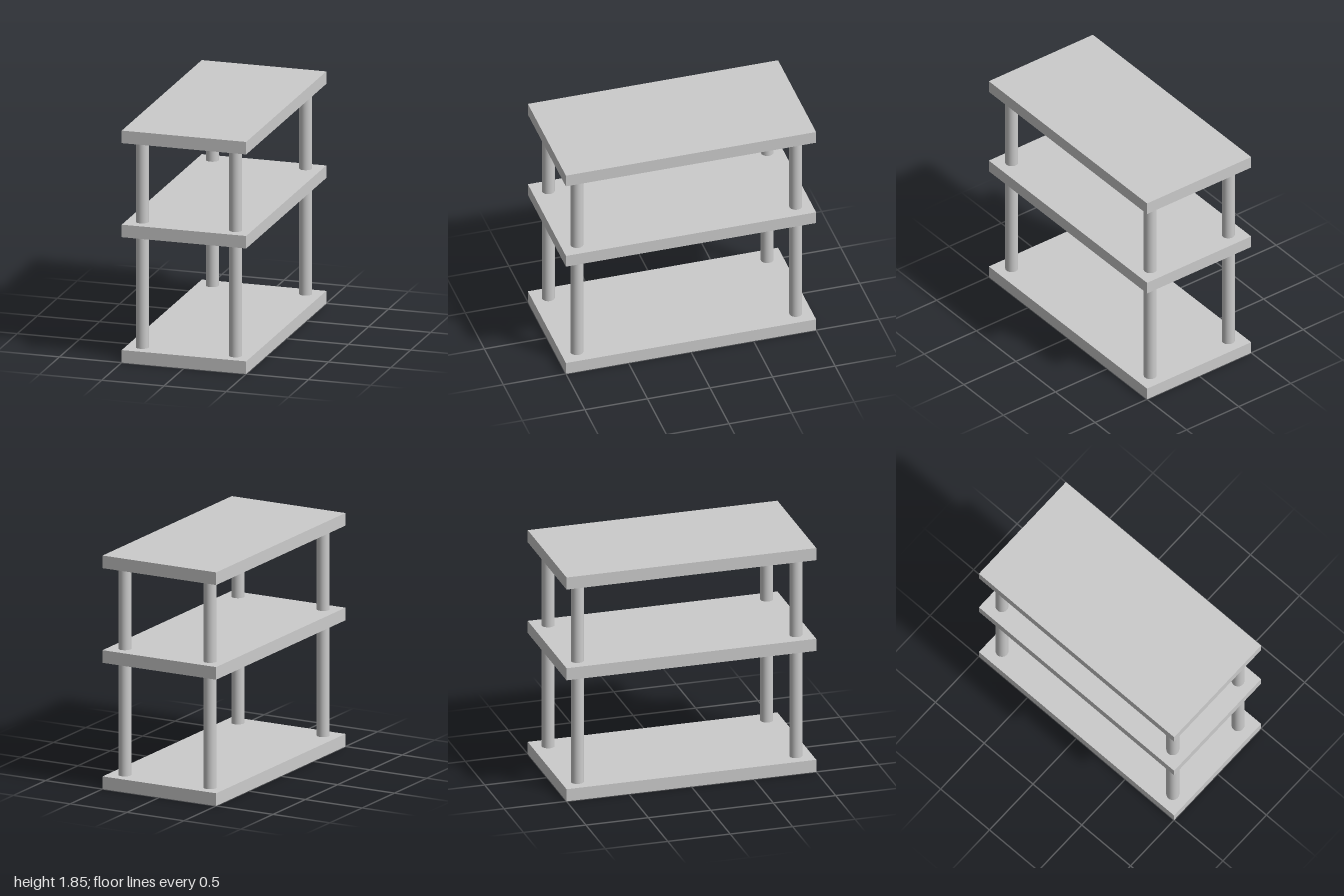
import * as THREE from 'three';

const WIDTH = 1, DEPTH = 2, THICKNESS = 0.1;
const POST_RADIUS = 0.05, POST_X = 0.375, POST_Z = 0.875;
const SHELVES = [['bottomShelf', 0], ['middleShelf', 1], ['topShelf', 1.75]]; // name, underside height

export function createModel() {
  const group = new THREE.Group();
  group.name = 'shelfUnit';
  const material = new THREE.MeshStandardMaterial({ color: 0xcccccc });

  function add(name, geometry, x, y, z) {
    const mesh = new THREE.Mesh(geometry, material);
    mesh.name = name;
    mesh.position.set(x, y, z);
    group.add(mesh);
  }

  // Three flat shelves
  const board = new THREE.BoxGeometry(WIDTH, THICKNESS, DEPTH);
  for (const [name, y] of SHELVES) add(name, board, 0, y + THICKNESS / 2, 0);

  // Four round posts in each gap between shelves
  ['lower', 'upper'].forEach((tier, i) => {
    const from = SHELVES[i][1] + THICKNESS;
    const to = SHELVES[i + 1][1];
    const post = new THREE.CylinderGeometry(POST_RADIUS, POST_RADIUS, to - from, 32);
    for (const sx of [-1, 1]) {
      for (const sz of [-1, 1]) {
        const name = `${tier}${sz > 0 ? 'Front' : 'Back'}${sx > 0 ? 'Left' : 'Right'}Post`;
        add(name, post, sx * POST_X, (from + to) / 2, sz * POST_Z);
      }
    }
  });

  return group;
}
